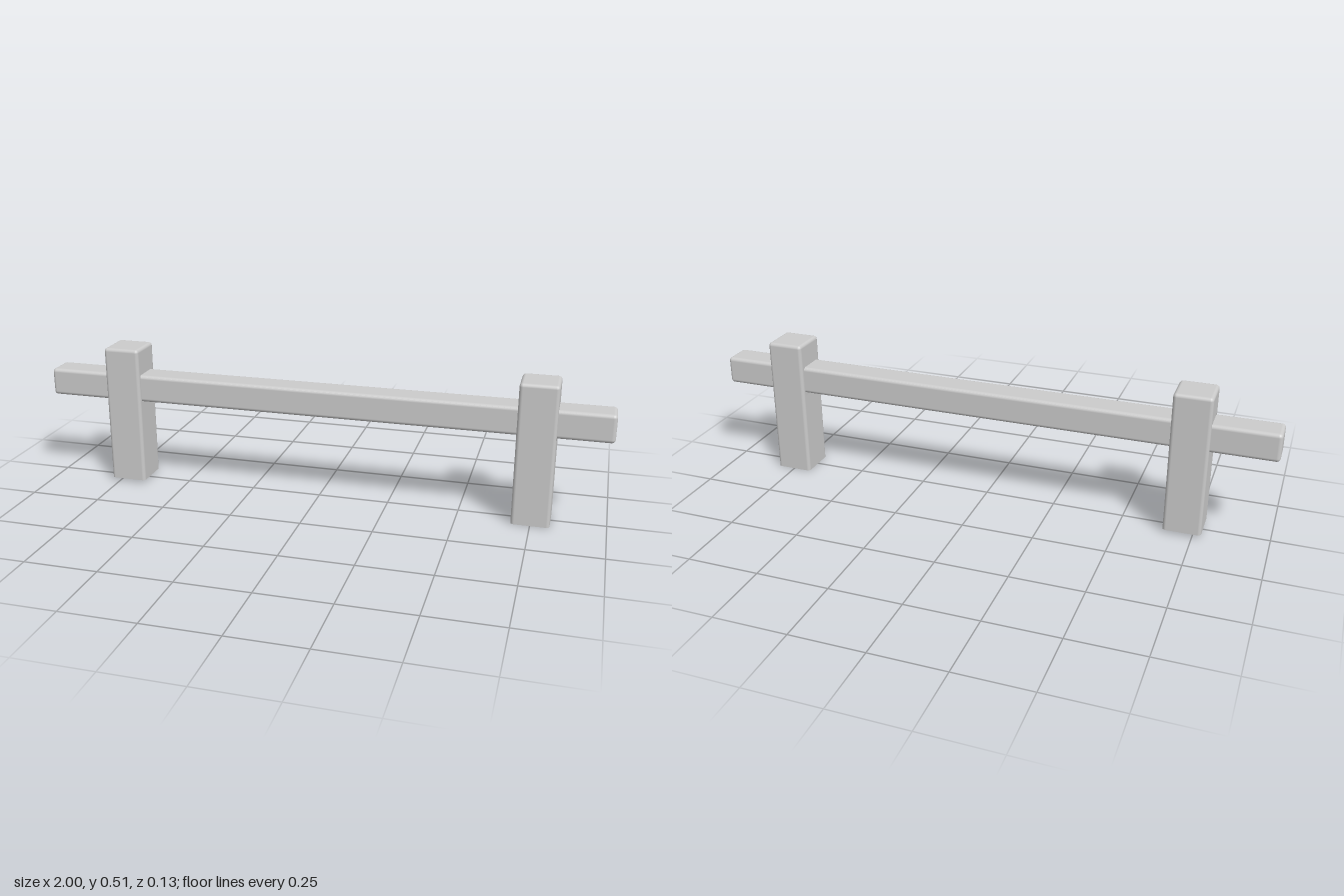
import * as THREE from 'three';
import { RoundedBoxGeometry } from 'three/addons/geometries/RoundedBoxGeometry.js';

const material = new THREE.MeshStandardMaterial({ color: 0xcccccc, side: THREE.DoubleSide });

const WIDTH = 0.13, DEPTH = 0.134, HEIGHT = 0.495, RADIUS = 0.012, STEPS = 4;

// Hollow post skin: rounded corners and top, open at the bottom and on the flat +x / -x sides
function postShell() {
  const positions = [], normals = [], index = [];
  const cx = WIDTH / 2 - RADIUS, cz = DEPTH / 2 - RADIUS;
  const ringSize = 4 * (STEPS + 1);

  function addRing(y, tilt) {
    for (let corner = 0; corner < 4; corner++) {
      const sx = corner === 0 || corner === 3 ? 1 : -1;
      const sz = corner < 2 ? 1 : -1;
      for (let i = 0; i <= STEPS; i++) {
        const a = (corner + i / STEPS) * Math.PI / 2;
        const nx = Math.cos(a) * Math.cos(tilt), nz = Math.sin(a) * Math.cos(tilt);
        positions.push(sx * cx + RADIUS * nx, y, sz * cz + RADIUS * nz);
        normals.push(nx, Math.sin(tilt), nz);
      }
    }
  }

  addRing(0, 0);
  for (let i = 0; i <= STEPS; i++) {
    const tilt = i / STEPS * Math.PI / 2;
    addRing(HEIGHT - RADIUS + RADIUS * Math.sin(tilt), tilt);
  }

  for (let r = 0; r <= STEPS; r++) {
    for (let k = 0; k < ringSize; k++) {
      const corner = Math.floor(k / (STEPS + 1));
      const sidePanel = k % (STEPS + 1) === STEPS && corner % 2 === 1;
      if (r === 0 && sidePanel) continue;
      const a = r * ringSize + k, b = r * ringSize + (k + 1) % ringSize;
      index.push(a, a + ringSize, b, b, a + ringSize, b + ringSize);
    }
  }

  // Flat top
  const top = (STEPS + 1) * ringSize, s = STEPS + 1;
  index.push(top, top + 2 * s, top + s, top, top + 3 * s, top + 2 * s);

  const geometry = new THREE.BufferGeometry();
  geometry.setAttribute('position', new THREE.Float32BufferAttribute(positions, 3));
  geometry.setAttribute('normal', new THREE.Float32BufferAttribute(normals, 3));
  geometry.setIndex(index);
  return geometry;
}

// Flat side of a post with the square opening for the bar
function sidePanel() {
  const w = DEPTH / 2 - RADIUS, h = HEIGHT - RADIUS;
  const rect = (x, y0, y1) => [[-x, y0], [x, y0], [x, y1], [-x, y1]].map(p => new THREE.Vector2(...p));
  const shape = new THREE.Shape(rect(w, 0, h));
  shape.holes.push(new THREE.Path(rect(0.052, 0.3, 0.4)));
  return new THREE.ShapeGeometry(shape);
}

function createPost(name, x, y) {
  const post = new THREE.Group();
  post.name = name;
  const shell = new THREE.Mesh(postShell(), material);
  shell.name = 'postShell';
  post.add(shell);
  for (const side of [-1, 1]) {
    const panel = new THREE.Mesh(sidePanel(), material);
    panel.name = 'postSidePanel';
    panel.rotation.y = side * Math.PI / 2;
    panel.position.x = side * WIDTH / 2;
    post.add(panel);
  }
  post.position.set(x, y, 0);
  return post;
}

export function createModel() {
  const model = new THREE.Group();
  model.name = 'barHandle';

  // Long square bar running through both posts
  const bar = new THREE.Mesh(new RoundedBoxGeometry(2, 0.098, 0.103, 4, 0.013), material);
  bar.name = 'bar';
  bar.position.y = 0.36;
  model.add(bar);

  // The right post sits slightly higher than the left one
  model.add(createPost('rightPost', -0.714, 0.011), createPost('leftPost', 0.75, 0));
  return model;
}
